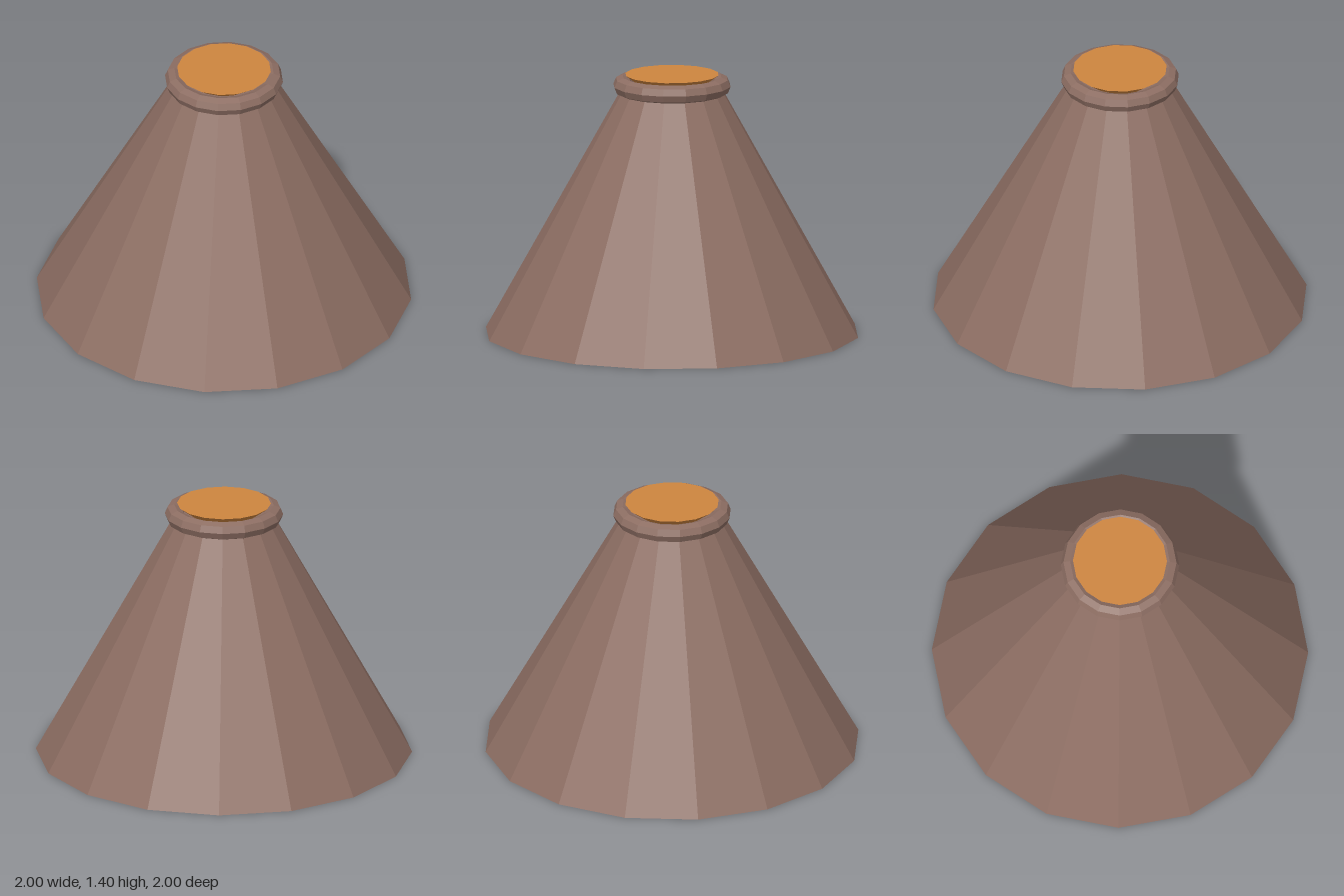
import * as THREE from 'three';

const SIDES = 16;

export function createModel() {
  const model = new THREE.Group();
  const brown = new THREE.MeshStandardMaterial({ color: 0x8d6e63, flatShading: true });
  const orange = new THREE.MeshStandardMaterial({ color: 0xcd853f, flatShading: true });

  function add(name, geometry, material, y) {
    const mesh = new THREE.Mesh(geometry, material);
    mesh.name = name;
    mesh.position.y = y;
    model.add(mesh);
    return mesh;
  }

  // Faceted truncated cone, closed at both ends
  const coneHeight = 1.34;
  add('coneBody', new THREE.CylinderGeometry(0.257, 1, coneHeight, SIDES), brown, coneHeight / 2);

  // Rounded rim around the top
  const rim = add('rim', new THREE.TorusGeometry(0.265, 0.05, 8, SIDES), brown, 1.34);
  rim.rotation.x = Math.PI / 2;

  // Coloured plug in the mouth, flaring out towards its flat top
  const plugHeight = 0.06;
  add('plug', new THREE.CylinderGeometry(0.25, 0.17, plugHeight, SIDES), orange, 1.4 - plugHeight / 2);

  return model;
}
